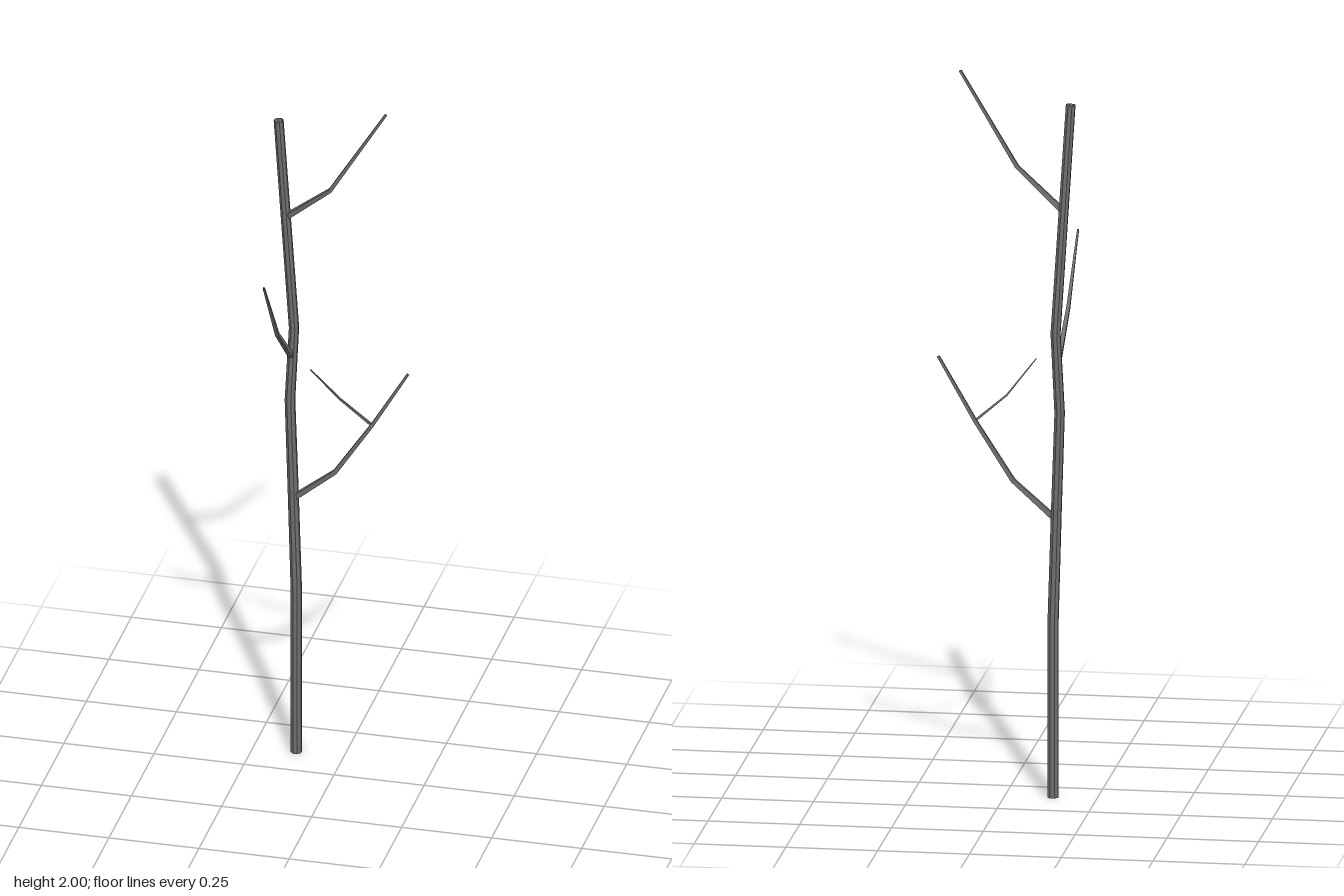
import * as THREE from 'three';

const bark = new THREE.MeshStandardMaterial({ color: 0x707070, flatShading: true, side: THREE.DoubleSide });

// Tapered open limb: a ring of vertices around each [x, y, z, radius] point
function limb(name, points, sides) {
  const centres = points.map(([x, y, z]) => new THREE.Vector3(x, y, z));
  const last = points.length - 1;
  const position = [], index = [];
  centres.forEach((c, i) => {
    const dir = centres[Math.min(i + 1, last)].clone().sub(centres[Math.max(i - 1, 0)]).normalize();
    const turn = new THREE.Quaternion().setFromUnitVectors(new THREE.Vector3(0, 1, 0), dir);
    for (let s = 0; s < sides; s++) {
      const a = ((s + 0.5) / sides) * Math.PI * 2;
      const r = points[i][3];
      const v = new THREE.Vector3(Math.sin(a) * r, 0, Math.cos(a) * r).applyQuaternion(turn).add(c);
      position.push(v.x, v.y, v.z);
    }
  });
  for (let i = 0; i < last; i++) {
    for (let s = 0; s < sides; s++) {
      const a = i * sides + s, b = i * sides + ((s + 1) % sides);
      index.push(a, b, b + sides, a, b + sides, a + sides);
    }
  }
  const geometry = new THREE.BufferGeometry();
  geometry.setAttribute('position', new THREE.Float32BufferAttribute(position, 3));
  geometry.setIndex(index);
  geometry.computeVertexNormals();
  const mesh = new THREE.Mesh(geometry, bark);
  mesh.name = name;
  return mesh;
}

export function createModel() {
  const tree = new THREE.Group();
  tree.name = 'bareTree';
  tree.add(
    // Slightly crooked main stem
    limb('trunk', [
      [-0.131, 0, -0.106, 0.0155], [-0.131, 0.49, -0.106, 0.0155], [-0.14, 0.8, -0.106, 0.015],
      [-0.149, 1.07, -0.107, 0.0145], [-0.138, 1.29, -0.108, 0.014], [-0.177, 1.924, -0.093, 0.0135],
    ], 8),
    // Side branches, square in section, each with one elbow or more
    limb('lowerBranch', [
      [-0.136, 0.775, -0.105, 0.0105], [-0.02, 0.873, -0.092, 0.0085],
      [0.085, 1.033, -0.083, 0.007], [0.187, 1.206, -0.072, 0.005],
    ], 4),
    limb('frontBranch', [
      [-0.144, 1.2, -0.107, 0.0095], [-0.154, 1.33, 0.015, 0.007], [-0.165, 1.523, 0.12, 0.0035],
    ], 4),
    limb('upperBranch', [
      [-0.154, 1.632, -0.099, 0.0105], [-0.028, 1.74, -0.071, 0.0075], [0.13, 1.998, -0.054, 0.005],
    ], 4),
    // Thin shoot growing from the lower branch
    limb('twig', [
      [0.085, 1.033, -0.083, 0.0045], [0.0, 1.105, -0.074, 0.0035], [-0.076, 1.202, -0.043, 0.002],
    ], 4),
  );
  return tree;
}
